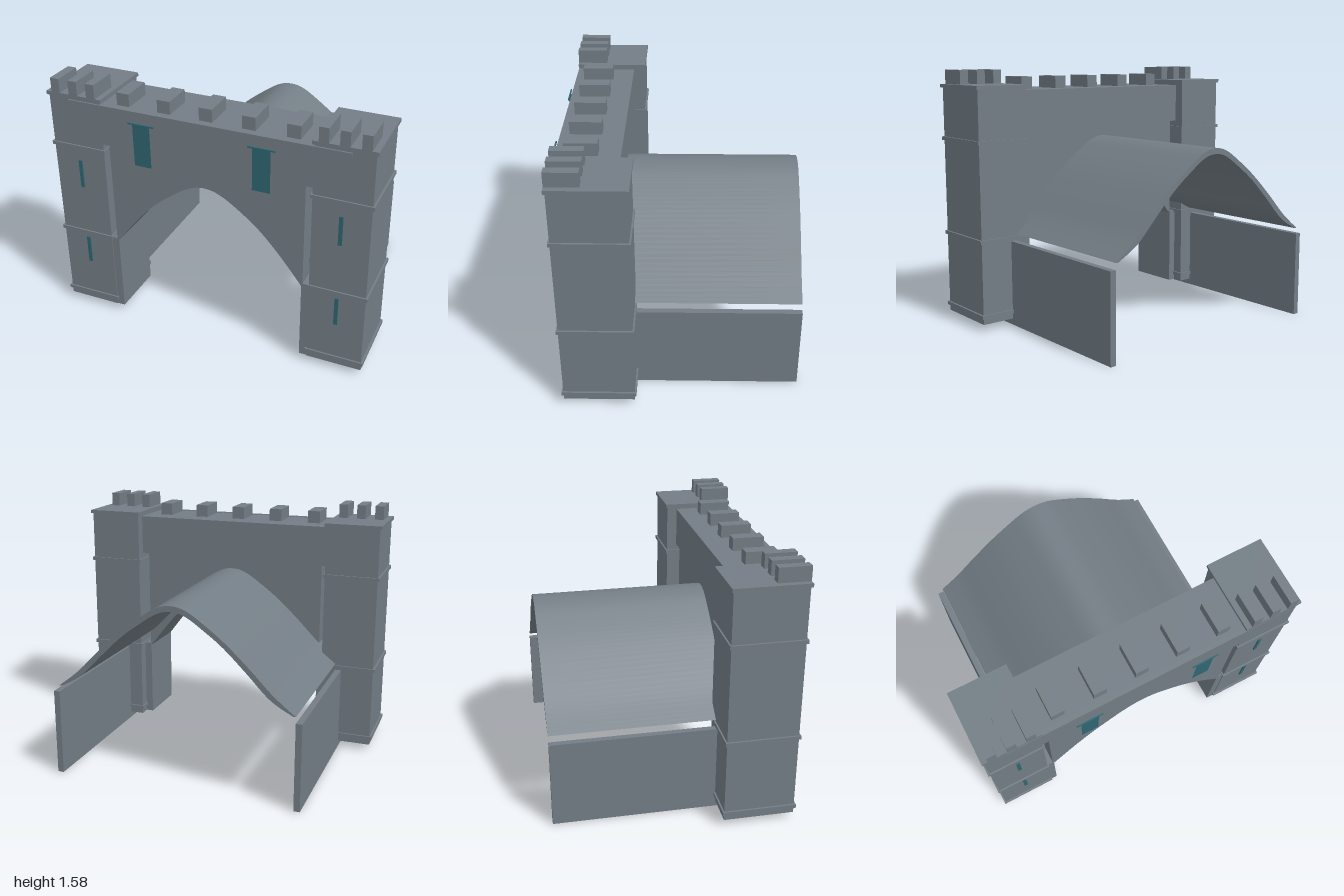
import * as THREE from 'three';
import { toCreasedNormals } from 'three/addons/utils/BufferGeometryUtils.js';

const stone = new THREE.MeshStandardMaterial({ color: 0x737d85 });
stone.name = 'stone';
const teal = new THREE.MeshStandardMaterial({ color: 0x2f6672, side: THREE.DoubleSide });
teal.name = 'teal';

// Box given by its extents along each axis
function box(parent, name, [x0, x1], [y0, y1], [z0, z1], material = stone) {
  const mesh = new THREE.Mesh(new THREE.BoxGeometry(x1 - x0, y1 - y0, z1 - z0), material);
  mesh.position.set((x0 + x1) / 2, (y0 + y1) / 2, (z0 + z1) / 2);
  mesh.name = name;
  parent.add(mesh);
}

// Smooth symmetric arch line, running from +x over the crown to -x
function archLine(half) {
  const right = half.map(([x, y]) => new THREE.Vector2(x, y));
  const left = half.slice(0, -1).reverse().map(([x, y]) => new THREE.Vector2(-x, y));
  return new THREE.SplineCurve([...right, ...left]).getPoints(72);
}

// Extrude an outline from z0 to z1
function extrude(parent, name, points, z0, z1) {
  const solid = new THREE.ExtrudeGeometry(new THREE.Shape(points), { depth: z1 - z0, bevelEnabled: false });
  const mesh = new THREE.Mesh(toCreasedNormals(solid, 0.5), stone);
  mesh.position.z = z0;
  mesh.name = name;
  parent.add(mesh);
}

// One side of the gate: s = 1 for left (+x), -1 for right
function buildSide(s) {
  const side = new THREE.Group();
  side.name = s > 0 ? 'leftSide' : 'rightSide';
  const span = (a, b) => (s > 0 ? [a, b] : [-b, -a]);

  // Tower with string courses and cap
  box(side, 'tower', span(0.65, 0.988), [0.04, 1.475], [0.255, 0.68]);
  for (const y of [0.088, 0.555, 1.155, 1.482]) {
    box(side, 'towerBand', span(0.64, 1), [y - 0.011, y + 0.011], [0.245, 0.69]);
  }
  for (const x of [0.703, 0.819, 0.936]) {
    box(side, 'towerMerlon', span(x - 0.028, x + 0.028), [1.485, 1.58], [0.502, 0.69]);
  }

  // Arrow slits
  for (const y of [0.425, 0.972]) {
    box(side, 'arrowSlit', span(0.808, 0.831), [y - 0.092, y + 0.092], [0.679, 0.687], teal);
  }

  // Gate jamb and passage wall
  box(side, 'jamb', span(0.602, 0.66), [0.04, 0.555], [0.325, 0.675]);
  box(side, 'passageWall', span(0.742, 0.78), [0, 0.535], [-0.73, 0.57]);

  // Hanging banner on a thin rod
  box(side, 'bannerRod', span(0.285, 0.448), [1.396, 1.404], [0.716, 0.724], teal);
  const banner = new THREE.Mesh(new THREE.PlaneGeometry(0.108, 0.265), teal);
  banner.position.set(s * 0.366, 1.268, 0.72);
  banner.name = 'banner';
  side.add(banner);
  return side;
}

export function createModel() {
  const model = new THREE.Group();
  model.name = 'gatehouse';
  model.add(buildSide(1), buildSide(-1));

  // Wall with the arched opening
  const arch = archLine([[0.61, 0.53], [0.47, 0.71], [0.337, 0.855], [0.2, 0.965], [0.09, 1.032], [0, 1.052]]);
  extrude(model, 'archWall', [...arch, new THREE.Vector2(-0.61, 1.21), new THREE.Vector2(0.61, 1.21)], 0.335, 0.678);

  // Parapet beam, cornice and merlons
  box(model, 'beam', [-0.655, 0.655], [1.205, 1.457], [0.32, 0.68]);
  box(model, 'cornice', [-0.86, 0.86], [1.438, 1.46], [0.66, 0.69]);
  for (let i = -2; i <= 2; i++) {
    box(model, 'beamMerlon', [i * 0.26 - 0.04, i * 0.26 + 0.04], [1.455, 1.535], [0.447, 0.637]);
  }

  // Vaulted passage roof: a thin shell behind the arch
  const outer = archLine([[0.742, 0.575], [0.61, 0.68], [0.47, 0.82], [0.33, 0.95], [0.2, 1.05], [0.09, 1.12], [0, 1.14]]);
  const inner = archLine([[0.725, 0.575], [0.59, 0.655], [0.45, 0.795], [0.315, 0.925], [0.19, 1.02], [0.085, 1.087], [0, 1.105]]);
  extrude(model, 'vaultRoof', [...outer, ...inner.reverse()], -0.73, 0.57);
  return model;
}
